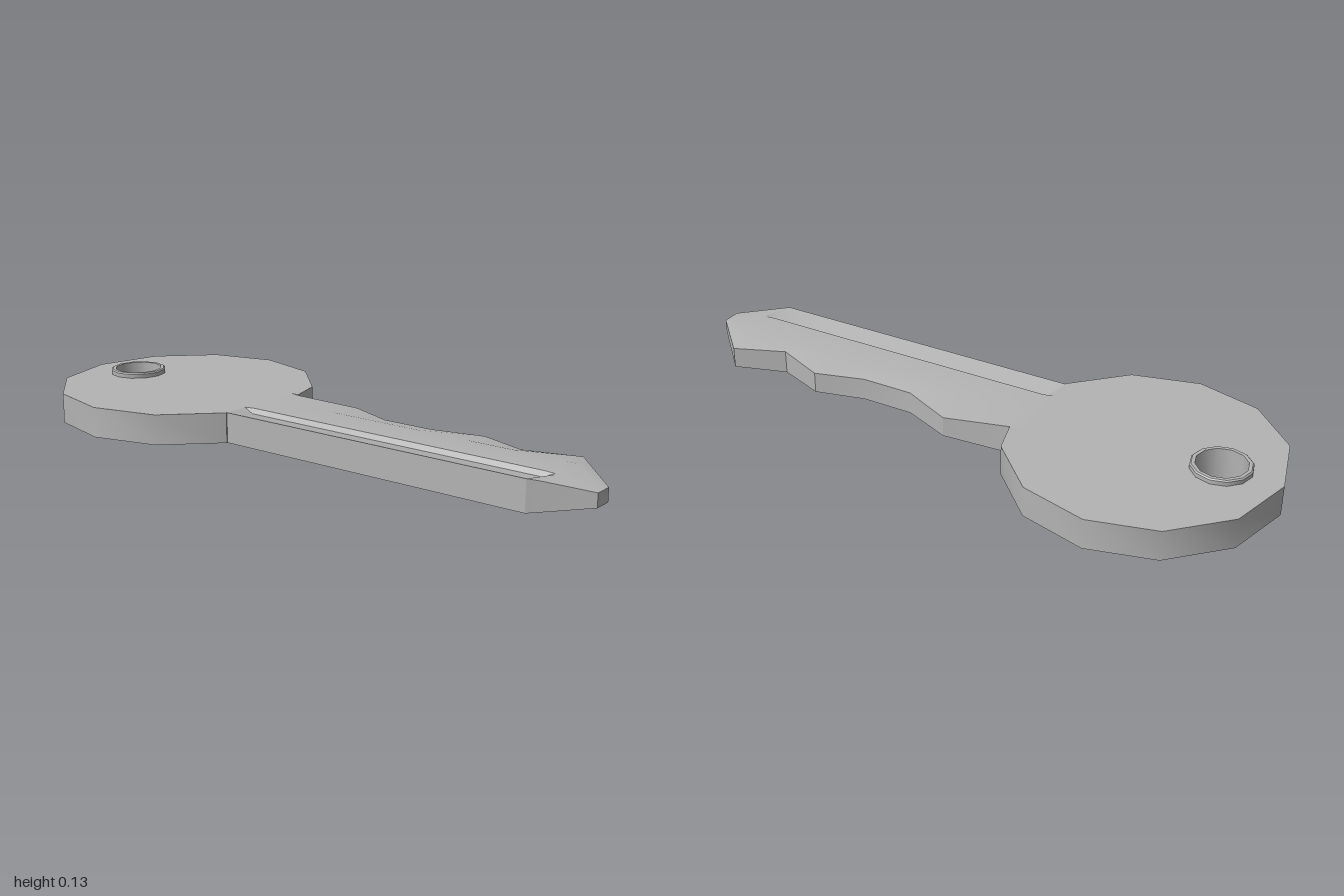
import * as THREE from 'three';
import { toCreasedNormals } from 'three/addons/utils/BufferGeometryUtils.js';

const MID = 0.066;   // height of the key's middle plane
const HALF = 0.048;  // half of the plate thickness

// Blade skin: closed cross-sections joined along x, mirrored above and below MID
function bladeGeometry() {
  // x, back edge z, back half thickness, groove depth
  const stations = [
    [-0.22, -0.1, HALF, 0], [-0.19, -0.1, 0.046, 0.016], [0.02, -0.135, 0.032, 0.016],
    [0.18, -0.065, 0.036, 0.016], [0.35, -0.065, 0.036, 0.016], [0.51, -0.108, 0.034, 0.016],
    [0.67, -0.045, 0.038, 0.016], [0.835, -0.105, 0.034, 0.016],
  ];
  const sections = stations.map(([x, back, backHalf, groove]) => ({
    x, top: [[0.205, HALF], [0.122, HALF - groove], [0.114, HALF], [0, HALF], [back, backHalf]],
  }));
  // groove run-out and tapered tip
  sections.push({ x: 0.87, top: [[0.185, 0.043], [0.122, 0.045], [0.114, 0.046], [0, 0.045], [-0.07, 0.031]] });
  sections.push({ x: 1, top: [[0.12, 0.021], [0.108, 0.021], [0.1, 0.021], [0.08, 0.021], [0.06, 0.021]] });

  const positions = [], index = [];
  const n = 10;
  for (const { x, top } of sections) {
    for (const [z, h] of top) positions.push(x, MID + h, z);
    for (const [z, h] of [...top].reverse()) positions.push(x, MID - h, z);
  }
  for (let i = 0; i < sections.length - 1; i++) {
    for (let j = 0; j < n; j++) {
      const k = (j + 1) % n;
      const a = i * n + j, b = a + n, c = (i + 1) * n + k, d = i * n + k;
      index.push(a, b, c, a, c, d);
    }
  }
  // blunt end of the tip
  const last = (sections.length - 1) * n;
  for (let j = 1; j < n - 1; j++) index.push(last, last + j + 1, last + j);

  const geometry = new THREE.BufferGeometry();
  geometry.setAttribute('position', new THREE.Float32BufferAttribute(positions, 3));
  geometry.setIndex(index);
  return toCreasedNormals(geometry, 0.5);
}

// Twelve-sided bow with the keyring hole
function bowGeometry() {
  const outline = [
    [-1, 0], [-0.945, 0.208], [-0.79, 0.362], [-0.585, 0.417], [-0.375, 0.362], [-0.22, 0.208],
    [-0.22, 0.205], [-0.22, -0.1], [-0.19, -0.1],
    [-0.22, -0.21], [-0.375, -0.364], [-0.585, -0.419], [-0.79, -0.364], [-0.945, -0.21],
  ];
  const shape = new THREE.Shape(outline.map(([x, z]) => new THREE.Vector2(x, -z)));
  const hole = new THREE.Path();
  hole.absarc(-0.815, 0, 0.084, 0, Math.PI * 2, true);
  shape.holes.push(hole);
  const geometry = new THREE.ExtrudeGeometry(shape, { depth: HALF * 2, bevelEnabled: false, curveSegments: 6 });
  geometry.rotateX(-Math.PI / 2);
  geometry.translate(0, MID - HALF, 0);
  return toCreasedNormals(geometry, 0.6);
}

// Raised collar lining the hole
function collarGeometry() {
  const outer = 0.092, inner = 0.077, top = 0.131;
  const profile = [[outer, 0], [outer, top - 0.004], [outer - 0.004, top], [inner, top], [inner, 0], [outer, 0]];
  const geometry = new THREE.LatheGeometry(profile.map(([r, y]) => new THREE.Vector2(r, y)), 12);
  return toCreasedNormals(geometry, 0.6);
}

export function createModel() {
  const steel = new THREE.MeshStandardMaterial({ color: 0xb4b4b4 });
  steel.name = 'steel grey';

  const key = new THREE.Group();
  key.name = 'key';
  const add = (name, geometry) => {
    const mesh = new THREE.Mesh(geometry, steel);
    mesh.name = name;
    key.add(mesh);
    return mesh;
  };
  add('bow', bowGeometry());
  add('blade', bladeGeometry());
  add('holeCollar', collarGeometry()).position.x = -0.815;
  return key;
}
